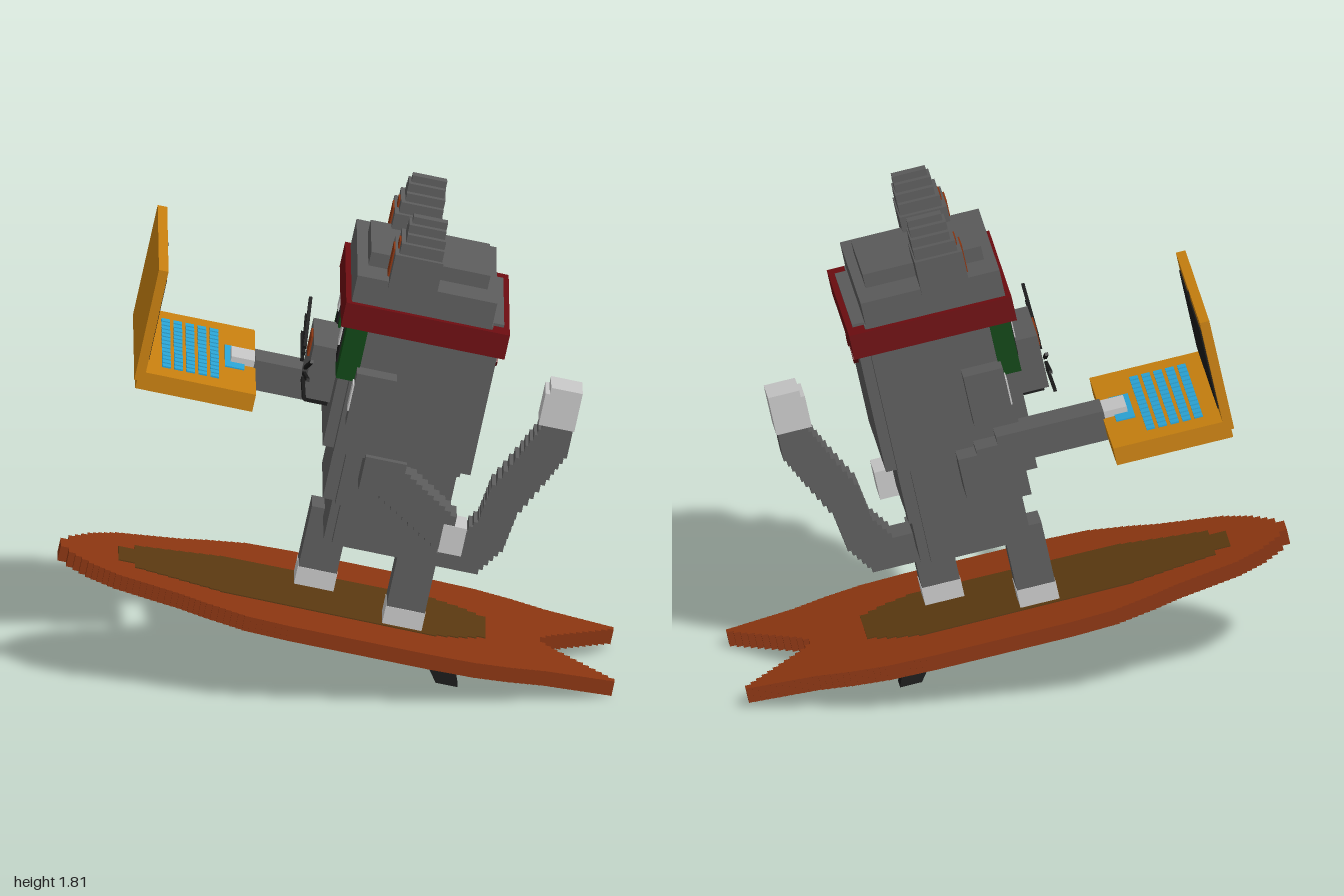
import * as THREE from 'three';

const mat = (name, color, extra) => {
  const m = new THREE.MeshStandardMaterial({ color, ...extra });
  m.name = name;
  return m;
};
const GREY = mat('fur grey', 0x5c5c5c);
const WHITE = mat('paw white', 0xc6c6c6);
const RED = mat('headband red', 0x6c0c10);
const GREEN = mat('eye green', 0x0e4514);
const RUST = mat('board rust', 0x8a3510);
const OLIVE = mat('board patch brown', 0x5a3810);
const ORANGE = mat('laptop orange', 0xc8800f);
const BLACK = mat('black', 0x191919);
const BLUE = mat('key blue', 0x2ba5d6);

function add(parent, name, geometry, material) {
  const m = new THREE.Mesh(geometry, material);
  m.name = name;
  parent.add(m);
  return m;
}

// box from its min / max limits on each axis
function box(parent, name, material, x0, x1, y0, y1, z0, z1) {
  const m = add(parent, name, new THREE.BoxGeometry(x1 - x0, y1 - y0, z1 - z0), material);
  m.position.set((x0 + x1) / 2, (y0 + y1) / 2, (z0 + z1) / 2);
  return m;
}

// chain of upright blocks along a path of [x, y] points
function blockChain(parent, name, material, path, perSegment, sx, sy, z0, z1) {
  for (let i = 0; i < path.length - 1; i++) {
    for (let k = 0; k <= perSegment; k++) {
      const t = k / perSegment;
      const x = path[i][0] + (path[i + 1][0] - path[i][0]) * t;
      const y = path[i][1] + (path[i + 1][1] - path[i][1]) * t;
      box(parent, name, material, x - sx / 2, x + sx / 2, y - sy / 2, y + sy / 2, z0, z1);
    }
  }
}

// flat slab with a staircase edge, mirrored across z, from y0 to y1
function steppedSlab(parent, name, material, half, step, y0, y1) {
  const edge = [new THREE.Vector2(half[0][0], half[0][1])];
  for (let i = 0; i < half.length - 1; i++) {
    const [ax, az] = half[i], [bx, bz] = half[i + 1];
    const n = Math.max(1, Math.round(Math.min(Math.abs(bx - ax) , 9) / step));
    for (let k = 1; k <= n; k++) {
      const x = ax + (bx - ax) * k / n, z = az + (bz - az) * k / n;
      const last = edge[edge.length - 1];
      if (Math.abs(last.x - x) > 1e-5 && Math.abs(last.y - z) > 1e-5) edge.push(new THREE.Vector2(x, last.y));
      edge.push(new THREE.Vector2(x, z));
    }
  }
  const mirrored = edge.filter(p => p.y > 1e-4).map(p => new THREE.Vector2(p.x, -p.y)).reverse();
  const g = new THREE.ExtrudeGeometry(new THREE.Shape([...edge, ...mirrored]), { depth: y1 - y0, bevelEnabled: false });
  g.rotateX(-Math.PI / 2);
  g.translate(0, y0, 0);
  return add(parent, name, g, material);
}

function makeBoard() {
  const g = new THREE.Group();
  g.name = 'surfboard';
  steppedSlab(g, 'boardDeck', RUST, [[-1.03, 0.05], [-1.0, 0.1], [-0.93, 0.18], [-0.83, 0.25], [-0.6, 0.33],
    [-0.5, 0.38], [-0.36, 0.435], [-0.2, 0.45], [0.3, 0.45], [0.47, 0.44], [0.6, 0.41], [0.73, 0.365],
    [0.99, 0.32], [0.99, 0.29], [0.76, 0.06], [0.72, 0]], 0.022, -0.055, 0);
  steppedSlab(g, 'boardPatch', OLIVE, [[-0.82, 0.08], [-0.76, 0.13], [-0.6, 0.17], [-0.45, 0.21],
    [0.3, 0.22], [0.42, 0.17], [0.52, 0.1]], 0.04, -0.059, 0.004);
  // swept fins below the tail
  for (const [x, z] of [[0.3, -0.23], [0.3, 0.23], [0.43, 0]]) {
    const s = new THREE.Shape([[0, -0.05], [0.03, -0.1], [0.07, -0.155], [0.15, -0.155], [0.13, -0.1], [0.14, -0.05]]
      .map(p => new THREE.Vector2(p[0], p[1])));
    const fin = add(g, 'fin', new THREE.ExtrudeGeometry(s, { depth: 0.07, bevelEnabled: false }), BLACK);
    fin.position.set(x, 0, z - 0.035);
  }
  return g;
}

function makeBody() {
  const g = new THREE.Group();
  g.name = 'body';
  // torso with notched corners
  box(g, 'torso', GREY, -0.165, 0.285, 0.42, 0.66, -0.21, 0.21);
  box(g, 'torsoSides', GREY, -0.12, 0.24, 0.42, 0.66, -0.25, 0.25);
  box(g, 'hips', GREY, -0.13, 0.275, 0.27, 0.42, -0.21, 0.21);
  box(g, 'hipSides', GREY, -0.1, 0.24, 0.27, 0.42, -0.25, 0.25);
  // striding legs
  for (const [x, z] of [[0.213, 0.133], [-0.107, -0.125]]) {
    box(g, 'leg', GREY, x - 0.07, x + 0.07, 0.07, 0.3, z - 0.066, z + 0.066);
    box(g, 'foot', WHITE, x - 0.072, x + 0.072, 0, 0.07, z - 0.069, z + 0.069);
  }
  // arm swung backwards
  box(g, 'upperArm', GREY, -0.06, 0.09, 0.53, 0.66, 0.25, 0.395);
  blockChain(g, 'forearm', GREY, [[0.03, 0.59], [0.27, 0.44]], 10, 0.07, 0.13, 0.26, 0.39);
  box(g, 'paw', WHITE, 0.265, 0.35, 0.365, 0.47, 0.255, 0.395);
  // arm reaching forwards
  box(g, 'upperArm', GREY, -0.1, 0.07, 0.53, 0.68, -0.395, -0.25);
  box(g, 'upperArm', GREY, -0.2, 0.0, 0.58, 0.7, -0.395, -0.25);
  box(g, 'forearm', GREY, -0.475, -0.08, 0.62, 0.73, -0.395, -0.26);
  box(g, 'paw', WHITE, -0.56, -0.475, 0.65, 0.725, -0.39, -0.265);
  // tail
  blockChain(g, 'tail', GREY, [[0.29, 0.27], [0.39, 0.27], [0.46, 0.37], [0.48, 0.5], [0.555, 0.645],
    [0.61, 0.76]], 5, 0.11, 0.11, -0.05, 0.08);
  box(g, 'tailTip', WHITE, 0.54, 0.67, 0.81, 0.93, -0.055, 0.085);
  box(g, 'tailTip', WHITE, 0.555, 0.67, 0.93, 0.955, -0.055, 0.085);
  return g;
}

function makeHead() {
  const g = new THREE.Group();
  g.name = 'head';
  g.position.z = 0.035;
  box(g, 'skull', GREY, -0.215, 0.325, 0.645, 1.22, -0.28, 0.28);
  box(g, 'skullSides', GREY, -0.175, 0.285, 0.645, 1.22, -0.33, 0.33);
  box(g, 'headband', RED, -0.25, 0.347, 1.118, 1.21, -0.36, 0.36);
  box(g, 'crown', GREY, -0.23, 0.28, 1.21, 1.31, -0.335, 0.335);
  box(g, 'crownTop', GREY, -0.19, 0.245, 1.31, 1.362, -0.19, 0.19);
  // snout, nose and mouth
  box(g, 'snout', GREY, -0.315, -0.2, 0.77, 0.97, -0.16, 0.16);
  box(g, 'nose', RUST, -0.322, -0.31, 0.89, 0.965, -0.05, 0.05);
  box(g, 'mouth', BLACK, -0.3, -0.2, 0.725, 0.77, -0.06, 0.06);
  for (const s of [-1, 1]) {
    const side = (name, m, x0, x1, y0, y1, z0, z1) =>
      box(g, name, m, x0, x1, y0, y1, Math.min(s * z0, s * z1), Math.max(s * z0, s * z1));
    // cheek tufts
    side('cheek', GREY, -0.16, -0.015, 0.78, 0.975, 0.3, 0.415);
    side('cheekFront', WHITE, -0.166, -0.16, 0.83, 0.93, 0.345, 0.41);
    // eyes wrap round the corners of the face
    side('eye', GREEN, -0.226, -0.15, 0.92, 1.12, 0.1, 0.34);
    side('pupil', BLACK, -0.231, -0.226, 0.95, 1.12, 0.145, 0.25);
    side('eyeGlint', WHITE, -0.236, -0.231, 1.01, 1.09, 0.165, 0.235);
    // stepped ears with coloured insides
    const ear = [[1.29, 1.42, 0.11, -0.115, 0.06], [1.42, 1.46, 0.09, -0.1, 0.055],
      [1.46, 1.49, 0.068, -0.085, 0.055], [1.49, 1.52, 0.044, -0.085, 0.05], [1.52, 1.545, 0.02, -0.075, 0.05]];
    for (const [y0, y1, hw, x0, x1] of ear) side('ear', GREY, x0, x1, y0, y1, 0.245 - hw, 0.245 + hw);
    side('innerEar', RUST, -0.121, -0.115, 1.315, 1.42, 0.2, 0.29);
    side('innerEar', RUST, -0.106, -0.1, 1.42, 1.45, 0.215, 0.275);
    // whiskers and headband ties
    for (let i = 0; i < 3; i++) {
      const w = add(g, 'whisker', new THREE.BoxGeometry(0.012, 0.012, 0.28), BLACK);
      w.position.set(-0.325, 0.83 + i * 0.045, s * 0.25);
      w.rotation.x = -s * (0.05 + i * 0.17);
    }
    const tie = add(g, 'headbandTie', new THREE.BoxGeometry(0.02, 0.15, 0.03), RED);
    tie.position.set(0.333, 1.07, s * 0.05);
    tie.rotation.x = -s * 0.8;
  }
  return g;
}

function makeLaptop() {
  const g = new THREE.Group();
  g.name = 'laptop';
  g.position.z = -0.33;
  box(g, 'laptopBase', ORANGE, -0.895, -0.468, 0.635, 0.7, -0.385, 0.385);
  box(g, 'laptopLid', ORANGE, -0.905, -0.87, 0.665, 1.085, -0.385, 0.385);
  box(g, 'screen', BLACK, -0.87, -0.865, 0.735, 1.035, -0.335, 0.335);
  box(g, 'webcam', BLACK, -0.87, -0.865, 1.05, 1.07, -0.015, 0.015);
  // keyboard grid and touchpad
  for (let r = 0; r < 5; r++) {
    for (let c = 0; c < 13; c++) {
      const x = -0.81 + r * 0.044, z = -0.285 + c * 0.0445;
      box(g, 'key', BLUE, x, x + 0.031, 0.7, 0.706, z, z + 0.032);
    }
  }
  box(g, 'touchpad', BLUE, -0.58, -0.51, 0.7, 0.705, -0.125, 0.125);
  return g;
}

export function createModel() {
  const rider = new THREE.Group();
  rider.name = 'surfingCat';
  rider.add(makeBoard(), makeBody(), makeHead(), makeLaptop());
  // board pitched nose-up, with a slight turn and roll
  const rad = THREE.MathUtils.degToRad;
  rider.rotation.set(rad(1.5), rad(-5), rad(-12));
  rider.position.set(0, 0.285, 0.13);
  const model = new THREE.Group();
  model.name = 'model';
  model.add(rider);
  return model;
}
